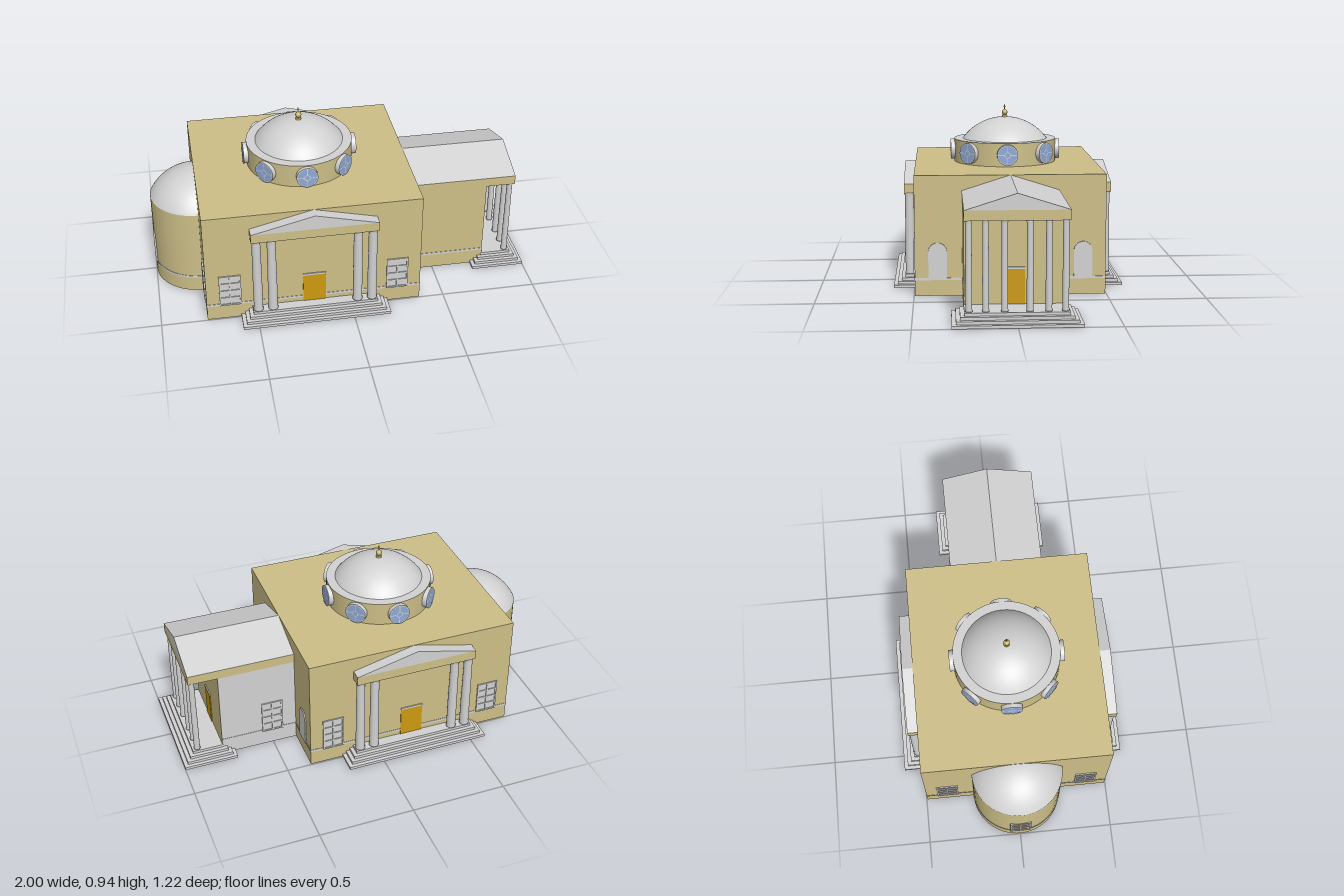
import * as THREE from 'three';

const mat = (name, color) => {
  const m = new THREE.MeshStandardMaterial({ color });
  m.name = name;
  return m;
};

export function createModel() {
  const tan = mat('sandstone', 0xcdbf88);
  const grey = mat('pale stone', 0xd2d2d2);
  const orange = mat('door ochre', 0xcc990f);
  const blue = mat('window blue', 0x8fa9d4);
  const gold = mat('finial gold', 0xc6b66c);

  const model = new THREE.Group();
  model.name = 'domedHall';
  const CX = -0.195; // centre of the main block

  const add = (parent, name, geo, material, x = 0, y = 0, z = 0) => {
    const m = new THREE.Mesh(geo, material);
    m.name = name;
    m.position.set(x, y, z);
    parent.add(m);
    return m;
  };
  // box given by its lower and upper corners
  const box = (parent, name, material, x0, x1, y0, y1, z0, z1) =>
    add(parent, name, new THREE.BoxGeometry(x1 - x0, y1 - y0, z1 - z0), material,
      (x0 + x1) / 2, (y0 + y1) / 2, (z0 + z1) / 2);
  const group = (parent, name, x = 0, y = 0, z = 0, turn = 0) => {
    const g = new THREE.Group();
    g.name = name;
    g.position.set(x, y, z);
    g.rotation.y = turn;
    parent.add(g);
    return g;
  };
  const stoneUnder = [tan, tan, tan, grey, tan, tan];

  // triangular roof prism running along z
  const gable = (parent, name, w, y0, y1, z0, z1) => {
    const s = new THREE.Shape([
      new THREE.Vector2(-w / 2, y0), new THREE.Vector2(w / 2, y0), new THREE.Vector2(0, y1)]);
    add(parent, name, new THREE.ExtrudeGeometry(s, { depth: z1 - z0, bevelEnabled: false }), grey, 0, 0, z0);
  };
  const column = (parent, x, z, r) => {
    const g = group(parent, 'column', x, 0, z);
    const profile = [[0, 0.06], [r, 0.06], [r, 0.07], [r * 0.92, 0.073], [r * 0.94, 0.2],
      [r * 0.86, 0.485], [r, 0.49], [r, 0.5], [0, 0.5]].map(p => new THREE.Vector2(...p));
    add(g, 'shaft', new THREE.LatheGeometry(profile, 24), grey);
  };
  // four stacked treads, each set in from the one below
  const steps = (parent, halfW, z0, z1, insetBack) => {
    for (let i = 0; i < 4; i++) {
      const d = i * 0.02;
      box(parent, 'step', grey, -halfW + d, halfW - d, i * 0.015, (i + 1) * 0.015,
        z0 + (insetBack ? d : 0), z1 - d);
    }
  };
  const door = (parent, halfW, top, z) => {
    box(parent, 'door', orange, -halfW, halfW, 0.06, top, z, z + 0.004);
    box(parent, 'doorLintel', grey, -halfW, halfW, top, top + 0.01, z, z + 0.006);
  };
  // barred rectangular window facing local +z
  const barredWindow = (parent, x, z, turn) => {
    const g = group(parent, 'barredWindow', x, 0, z, turn);
    box(g, 'pane', grey, -0.057, 0.057, 0.085, 0.27, -0.012, 0.002);
    for (const bx of [-0.053, 0, 0.053]) box(g, 'bar', grey, bx - 0.004, bx + 0.004, 0.085, 0.27, 0, 0.007);
    for (let i = 0; i < 5; i++) {
      const y = 0.089 + i * 0.0443;
      box(g, 'crossBar', grey, -0.057, 0.057, y - 0.004, y + 0.004, 0, 0.007);
    }
  };
  // spherical cap from base radius a and height h
  const cap = (a, h, start = 0, sweep = Math.PI * 2) => {
    const R = (a * a + h * h) / (2 * h);
    const geo = new THREE.SphereGeometry(R, 48, 16, start, sweep, 0, Math.acos((R - h) / R));
    return geo.translate(0, h - R, 0);
  };

  // main block
  box(model, 'mainBlock', stoneUnder, -0.76, 0.37, 0, 0.63, -0.495, 0.495);
  box(model, 'stringCourse', grey, -0.762, 0.372, 0.083, 0.095, -0.497, 0.497);

  // matching front and back porticos
  for (const turn of [0, Math.PI]) {
    const p = group(model, turn ? 'backPortico' : 'frontPortico', CX, 0, 0, turn);
    steps(p, 0.388, 0.48, 0.61, false);
    for (const x of [-0.3, -0.223, 0.223, 0.3]) column(p, x, 0.525, 0.026);
    box(p, 'entablature', stoneUnder, -0.328, 0.328, 0.5, 0.55, 0.49, 0.552);
    gable(p, 'pediment', 0.656, 0.55, 0.63, 0.49, 0.552);
    door(p, 0.06, 0.225, 0.495);
    for (const x of [-0.44, 0.44]) barredWindow(p, x, 0.495, 0);
  }

  // side wing, built along local +z and turned to face +x
  const wing = group(model, 'sideWing', 0, 0, 0, Math.PI / 2);
  box(wing, 'wingBody', [grey, tan, tan, grey, tan, tan], -0.25, 0.25, 0, 0.5, 0.36, 0.78);
  box(wing, 'wingStringCourse', grey, -0.252, 0.252, 0.083, 0.095, 0.36, 0.779);
  box(wing, 'wingEntablature', stoneUnder, -0.252, 0.252, 0.5, 0.55, 0.36, 0.935);
  gable(wing, 'wingRoof', 0.504, 0.55, 0.63, 0.36, 0.935);
  steps(wing, 0.312, 0.715, 1, true);
  for (const z of [0.06, 0.15, 0.23]) for (const s of [-1, 1]) column(wing, s * z, 0.913, 0.017);
  door(wing, 0.046, 0.235, 0.78);
  barredWindow(wing, 0.25, 0.5, Math.PI / 2);

  // arched niches beside the wing, barred windows on the opposite wall
  const arch = new THREE.Shape();
  arch.moveTo(-0.048, 0.085);
  arch.lineTo(0.048, 0.085);
  arch.lineTo(0.048, 0.232);
  arch.absarc(0, 0.232, 0.048, 0, Math.PI, false);
  const archGeo = new THREE.ExtrudeGeometry(arch, { depth: 0.006, bevelEnabled: false, curveSegments: 20 });
  for (const z of [-0.377, 0.377]) {
    add(model, 'archedWindow', archGeo, grey, 0.37, 0, z).rotation.y = Math.PI / 2;
    barredWindow(model, -0.76, z, -Math.PI / 2);
  }

  // rounded apse with half dome
  const apse = group(model, 'apse', -0.76, 0, 0);
  const half = (r, h) => new THREE.CylinderGeometry(r, r, h, 32, 1, false, Math.PI, Math.PI);
  add(apse, 'apseWall', half(0.238, 0.485), [tan, tan, grey], 0, 0.2425, 0);
  add(apse, 'apseStringCourse', half(0.24, 0.012), grey, 0, 0.089, 0);
  add(apse, 'apseDome', cap(0.238, 0.14, -Math.PI / 2, Math.PI), grey, 0, 0.485, 0);
  barredWindow(apse, -0.233, 0, -Math.PI / 2);

  // drum and dome
  const dome = group(model, 'dome', CX, 0, 0);
  add(dome, 'drum', new THREE.CylinderGeometry(0.28, 0.28, 0.125, 64), [tan, grey, tan], 0, 0.6925, 0);
  add(dome, 'domeShell', cap(0.232, 0.117), grey, 0, 0.755, 0);

  // eight round windows about the drum
  for (let i = 0; i < 8; i++) {
    const w = group(dome, 'roundWindow', 0, 0.694, 0, i * Math.PI / 4);
    add(w, 'frame', new THREE.CylinderGeometry(0.056, 0.056, 0.05, 32).rotateX(Math.PI / 2), grey, 0, 0, 0.275);
    add(w, 'glass', new THREE.CircleGeometry(0.052, 32), blue, 0, 0, 0.301);
    add(w, 'rim', new THREE.RingGeometry(0.051, 0.056, 32), grey, 0, 0, 0.302);
    add(w, 'centreRing', new THREE.RingGeometry(0.013, 0.017, 24), grey, 0, 0, 0.302);
    for (let k = 0; k < 4; k++) {
      const bar = new THREE.PlaneGeometry(0.036, 0.004).translate(0.034, 0, 0).rotateZ(k * Math.PI / 2);
      add(w, 'glazingBar', bar, grey, 0, 0, 0.302);
    }
  }

  // finial
  add(dome, 'finialBase', new THREE.CylinderGeometry(0.014, 0.016, 0.014, 20), gold, 0, 0.875, 0);
  add(dome, 'finialBall', new THREE.SphereGeometry(0.016, 20, 14), gold, 0, 0.897, 0);
  box(dome, 'finialPost', gold, -0.002, 0.002, 0.91, 0.938, -0.002, 0.002);
  box(dome, 'finialCrossBar', gold, -0.002, 0.002, 0.927, 0.931, -0.008, 0.008);

  return model;
}
